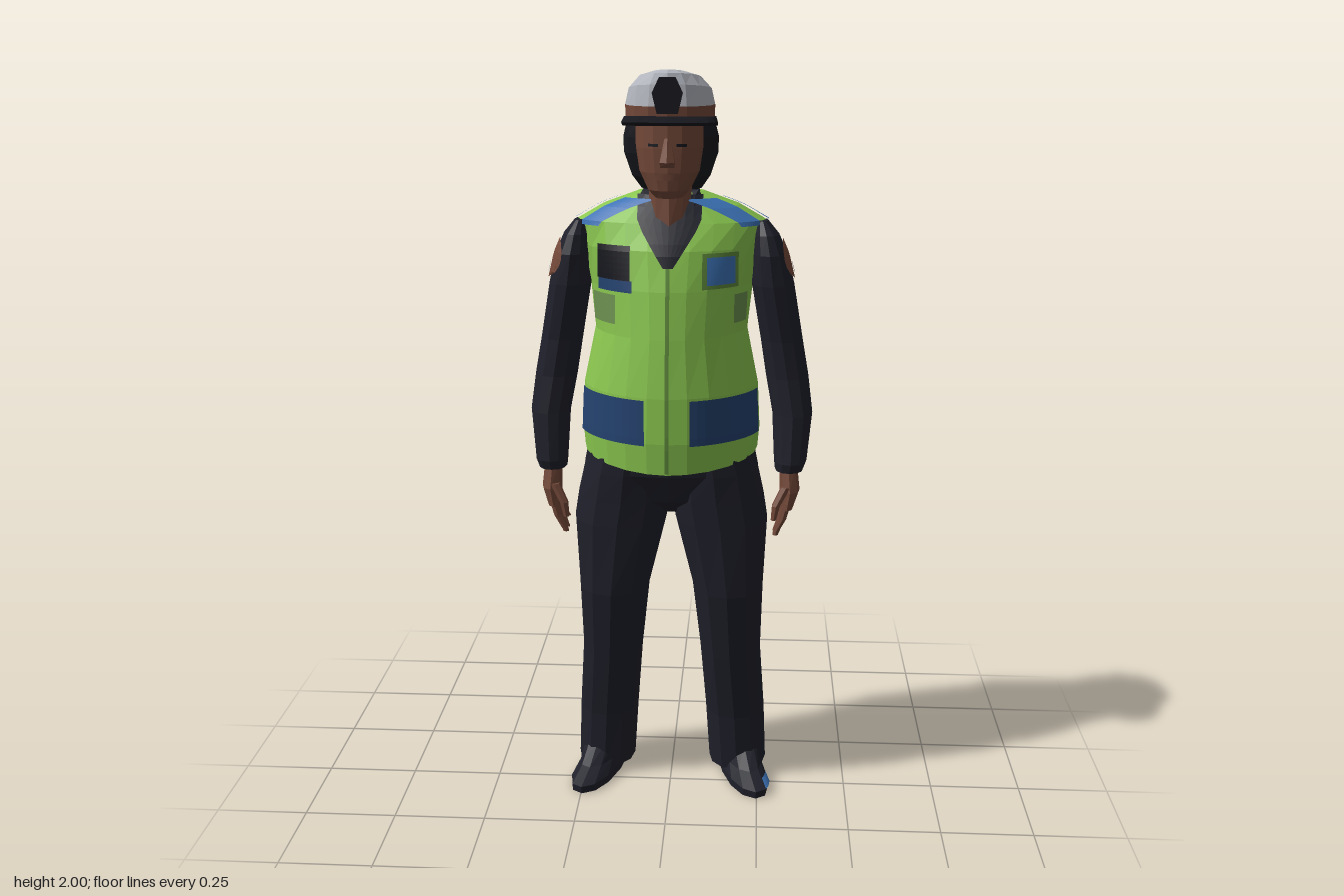
import * as THREE from 'three';

const colours = {
  vestGreen: 0x8ac64f, seamOlive: 0x5f8a3c, pocketNavy: 0x24426f, stripeBlue: 0x3c73b7, uniformDark: 0x1f202a,
  skin: 0x724838, hairBlack: 0x17181e, capGrey: 0xb3b6be, emblemBrown: 0x74493a, shadeGreen: 0x6d9150,
};
const M = {};
for (const [name, color] of Object.entries(colours)) {
  M[name] = new THREE.MeshStandardMaterial({ color });
  M[name].name = name;
}
const lerp = THREE.MathUtils.lerp;
const power = (v, e) => Math.sign(v) * Math.min(1, Math.abs(v)) ** e;

// A section is [y, centre x, half width, front z, back z, z of widest line, front and back roundness], listed upwards
function place([y, cx, rx, zf, zb, zw = (zf + zb) / 2, front = 2.2, back = 2.3], a, off = 0) {
  const c = Math.cos(a), e = 2 / (c >= 0 ? front : back);
  return [cx + (rx + off) * power(Math.sin(a), e), y, zw + ((c >= 0 ? zf - zw : zw - zb) + off) * power(c, e)];
}
function sectionAt(rings, y) {
  let i = 0;
  while (i < rings.length - 2 && y > rings[i + 1][0]) i++;
  const t = (y - rings[i][0]) / (rings[i + 1][0] - rings[i][0]);
  return rings[i].map((v, k) => lerp(v, rings[i + 1][k], t));
}
// Angles that meet a given x (on the front) or a given z (on the +x side)
function angleAtX(rings, y, x) {
  const [, cx, rx, , , , front = 2.2] = sectionAt(rings, y);
  return Math.asin(power((x - cx) / rx, front / 2));
}
function angleAtZ(rings, y, z) {
  const [, , , zf, zb, zw, front, back] = sectionAt(rings, y);
  return Math.acos(z >= zw ? power((z - zw) / (zf - zw), front / 2) : power((z - zw) / (zw - zb), back / 2));
}
const frontRect = (rings, x0, x1, y0, y1) => (u, v) => {
  const y = lerp(y0, y1, v);
  return [angleAtX(rings, y, lerp(x0, x1, u)), y];
};
function flatGeometry(points, index) {
  const g = new THREE.BufferGeometry();
  g.setAttribute('position', new THREE.Float32BufferAttribute(points.flat(), 3));
  g.setIndex(index);
  const flat = g.toNonIndexed();
  flat.computeVertexNormals();
  return flat;
}

export function createModel() {
  const model = new THREE.Group();
  model.name = 'officer';
  function add(name, geometry, material) {
    const mesh = new THREE.Mesh(geometry, material);
    mesh.name = name;
    model.add(mesh);
    return mesh;
  }
  // Closed faceted body through the sections; pick(y, z) chooses a material per face
  function loft(name, rings, material, { n = 14, side = 1, warp = (p) => p, pick } = {}) {
    const pts = [], index = [], last = (rings.length - 1) * n, q = Math.floor(n / 4);
    for (const [y, cx, ...rest] of rings) {
      for (let i = 0; i < n; i++) pts.push(warp(place([y, side * cx, ...rest], (i / n) * Math.PI * 2)));
    }
    for (let j = 0; j < last; j += n) for (let i = 0; i < n; i++) {
      const a = j + i, b = j + (i + 1) % n;
      index.push(a, b, b + n, a, b + n, a + n);
    }
    const sides = index.length;
    for (let i = 1; i < n - 1; i++) {
      const b = (q + i) % n, c = (q + i + 1) % n;
      index.push(q, c, b, last + q, last + b, last + c);
    }
    const g = flatGeometry(pts, index);
    for (let t = 0; pick && t < index.length; t += t < sides ? 6 : 3) {
      const ids = index.slice(t, t + (t < sides ? 6 : 3));
      const mean = (k) => ids.reduce((sum, i) => sum + pts[i][k], 0) / ids.length;
      g.addGroup(t, ids.length, pick(mean(1), mean(2)));
    }
    add(name, g, material);
  }
  // Thin painted face lying on a lofted body; f(u, v) gives [angle, y] on the +x side
  function patch(name, rings, material, f, { side = 1, off = 0.005, nu = 8, nv = 6, warp = (p) => p } = {}) {
    const pts = [], index = [], w = nu + 1;
    for (let j = 0; j <= nv; j++) for (let i = 0; i <= nu; i++) {
      const [a, y] = f(side > 0 ? i / nu : 1 - i / nu, j / nv);
      const [x, py, z] = place(sectionAt(rings, y), a, off);
      pts.push(warp([side * x, py, z]));
    }
    for (let j = 0; j < nv; j++) for (let i = 0; i < nu; i++) {
      const a = j * w + i;
      index.push(a, a + 1, a + w + 1, a, a + w + 1, a + w);
    }
    add(name, flatGeometry(pts, index), material);
  }

  // Vest, with its hem rising to the back
  const torso = [
    [0.975, 0, 0.235, 0.165, -0.185, -0.04], [1.06, 0, 0.24, 0.172, -0.172, -0.04], [1.18, 0, 0.234, 0.167, -0.155, -0.04],
    [1.33, 0, 0.203, 0.148, -0.165, -0.05], [1.45, 0, 0.216, 0.128, -0.183, -0.065], [1.55, 0, 0.24, 0.1, -0.188, -0.07],
    [1.615, 0, 0.248, 0.06, -0.165, -0.06], [1.655, 0, 0.18, 0.035, -0.135, -0.05], [1.69, 0, 0.085, 0.015, -0.1, -0.045],
  ].map((r) => [...r, 1.8, 2.6]);
  loft('vest', torso, M.vestGreen, { n: 24, warp: ([x, y, z]) => [x, y < 1 ? y + 0.13 * (0.165 - z) : y, z] });
  patch('zip', torso, M.seamOlive, frontRect(torso, -0.005, 0.005, 0.98, 1.51), { nu: 2, nv: 16 });
  patch('backSeam', torso, M.seamOlive, (u, v) => [Math.PI + lerp(-0.006, 0.006, u), lerp(1.03, 1.17, v)], { nu: 1 });
  patch('shirtFront', torso, M.uniformDark, (u, v) => {
    const y = lerp(1.51, 1.685, v), x = Math.min(0.08, 0.012 + 0.11 * v);
    return [angleAtX(torso, y, lerp(-x, x, u)), y];
  }, { off: 0.007 });
  for (const side of [1, -1]) {
    // Band running from a front x round to a side z
    const wrap = (x, z, y0, y1) => (u, v) => {
      const y = lerp(y0, y1, v);
      return [lerp(angleAtX(torso, y, x), angleAtZ(torso, y, z), u), y];
    };
    patch('waistPocket', torso, M.pocketNavy, wrap(0.058, 0, 1.055, 1.175), { side, nu: 12 });
    patch('sideShade', torso, M.shadeGreen, wrap(side > 0 ? 0.165 : 0.135, 0, 1.36, 1.435), { side });
    for (const [z0, z1] of [[0.02, -0.016], [-0.058, -0.09]]) {
      patch('shoulderStripe', torso, M.stripeBlue, (u, v) => {
        const y = lerp(1.605, 1.675, v);
        return [angleAtZ(torso, y, lerp(z0, z1, u)), y];
      }, { side, off: 0.01 });
    }
  }
  // Chest badges
  patch('chestBadgeBorder', torso, M.seamOlive, frontRect(torso, 0.085, 0.175, 1.455, 1.545));
  patch('chestBadge', torso, M.stripeBlue, frontRect(torso, 0.096, 0.165, 1.465, 1.535), { off: 0.008 });
  patch('radio', torso, M.hairBlack, frontRect(torso, 0.095, 0.18, 1.475, 1.562), { side: -1, off: 0.009 });
  patch('radioStrip', torso, M.pocketNavy, frontRect(torso, 0.09, 0.18, 1.445, 1.475), { side: -1, off: 0.007 });

  // Trousers, shoes, sleeves and palms, given for the +x side
  loft('hips', [
    [0.82, 0, 0.04, 0.0, -0.1], [0.87, 0, 0.15, 0.075, -0.165], [0.95, 0, 0.238, 0.108, -0.195], [1.03, 0, 0.222, 0.12, -0.19],
  ], M.uniformDark, { n: 16 });
  const leg = [
    [0.03, 0.192, 0.082, -0.01, -0.2], [0.2, 0.183, 0.084, 0.005, -0.2], [0.4, 0.168, 0.085, 0.048, -0.182],
    [0.6, 0.159, 0.098, 0.084, -0.168], [0.8, 0.139, 0.127, 0.092, -0.17], [0.87, 0.128, 0.127, 0.096, -0.178],
    [0.95, 0.12, 0.117, 0.103, -0.192], [1.02, 0.11, 0.108, 0.105, -0.185],
  ];
  const shoe = [
    [0, 0.197, 0.06, 0.1, -0.2], [0.022, 0.197, 0.06, 0.104, -0.2], [0.05, 0.195, 0.052, 0.04, -0.195], [0.1, 0.195, 0.05, -0.03, -0.18],
  ];
  const toeOut = (side) => ([x, y, z]) => [x + side * 0.25 * (z + 0.1), y, z];
  const arm = [
    [0.945, 0.322, 0.038, 0.035, -0.07], [0.97, 0.325, 0.044, 0.042, -0.078], [1.1, 0.328, 0.054, 0.03, -0.11],
    [1.2, 0.312, 0.057, 0.02, -0.132], [1.3, 0.295, 0.056, 0.02, -0.14], [1.45, 0.269, 0.056, 0.035, -0.135],
    [1.53, 0.259, 0.046, 0.035, -0.125], [1.58, 0.25, 0.033, 0.02, -0.105], [1.615, 0.24, 0.014, -0.01, -0.075],
  ];
  const palm = [[0.84, 0.317, 0.019, 0.04, -0.055], [0.89, 0.325, 0.027, 0.04, -0.055], [0.96, 0.32, 0.024, 0.022, -0.048]];
  const thumb = [[0.815, 0.282, 0.008, 0.048, 0.028], [0.855, 0.288, 0.012, 0.05, 0.024], [0.905, 0.314, 0.014, 0.04, 0.01]];
  for (const side of [1, -1]) {
    loft('trouserLeg', leg, M.uniformDark, { side, n: 12 });
    loft('shoe', shoe, M.uniformDark, { side, n: 12, warp: toeOut(side) });
    loft('sleeve', arm, M.uniformDark, { side, n: 12 });
    const middle = side > 0 ? 1.6 : 1.4, reach = side > 0 ? 0.85 : 1;
    patch('sleeveEmblem', arm, M.emblemBrown, (u, v) => {
      const w = reach * Math.sqrt(Math.max(0.02, 1 - (2 * v - 1) ** 2));
      return [middle + w * (2 * u - 1), lerp(1.465, 1.57, v)];
    }, { side });
    patch('emblemCentre', arm, M.capGrey, (u, v) => [middle + 0.22 * (2 * u - 1), lerp(1.48, 1.508, v)], { side, off: 0.008 });
    loft('palm', palm, M.skin, { side, n: 8 });
    loft('thumb', thumb, M.skin, { side, n: 6 });
    [0.775, 0.76, 0.765, 0.79].forEach((tip, i) => {
      const rings = [[tip, 0.288, 0.008], [0.815, 0.307, 0.011], [0.86, 0.318, 0.012]];
      const z = 0.026 - i * 0.023;
      loft('finger', rings.map(([y, x, r]) => [y, x, r, z + r, z - r]), M.skin, { side, n: 6 });
    });
  }
  patch('sleevePatch', arm, M.vestGreen, (u, v) => [lerp(2.2, 2.9, u), lerp(1.23, 1.29, v)], { side: -1 });
  patch('shoeMark', shoe, M.stripeBlue, (u, v) => [lerp(0.5, 1, u), lerp(0.024, 0.04, v)], { warp: toeOut(1) });

  // Neck, and a collar that dips at the front
  loft('neck', [[1.6, 0, 0.055, 0.07, -0.09], [1.74, 0, 0.058, 0.06, -0.07]], M.skin, { n: 10 });
  loft('collar', [[1.6, 0, 0.12, 0.072, -0.13], [1.655, 0, 0.1, 0.055, -0.115], [1.695, 0, 0.074, 0.042, -0.095]],
    M.uniformDark, { warp: ([x, y, z]) => [x, y - 1.1 * Math.max(0, z), z] });

  // Head
  const face = [
    [1.685, 0, 0.036, 0.105, 0.0], [1.705, 0, 0.055, 0.118, -0.02], [1.75, 0, 0.077, 0.124, -0.05],
    [1.81, 0, 0.086, 0.125, -0.06], [1.88, 0, 0.086, 0.122, -0.06],
  ];
  loft('face', face, M.skin, { n: 16 });
  loft('nose', [[1.765, 0, 0.02, 0.145, 0.1], [1.778, 0, 0.021, 0.158, 0.1], [1.835, 0, 0.009, 0.128, 0.1]], M.skin, { n: 6 });
  patch('lips', face, M.emblemBrown, frontRect(face, -0.028, 0.028, 1.732, 1.748), { off: 0.004 });
  for (const side of [1, -1]) patch('eye', face, M.hairBlack, frontRect(face, 0.022, 0.046, 1.815, 1.822), { side, off: 0.004 });
  loft('hair', [
    [1.695, 0, 0.078, -0.01, -0.098], [1.73, 0, 0.102, 0.03, -0.108], [1.79, 0, 0.122, 0.05, -0.116],
    [1.83, 0, 0.123, 0.055, -0.116], [1.88, 0, 0.11, 0.06, -0.112],
  ], M.hairBlack, { n: 12 });

  // Cap: brown band and grey crown in front, blue behind, the top rising forwards
  loft('cap', [
    [1.865, 0, 0.114, 0.129, -0.112], [1.912, 0, 0.114, 0.132, -0.114], [1.95, 0, 0.105, 0.126, -0.106],
    [1.978, 0, 0.078, 0.119, -0.09], [1.987, 0, 0.045, 0.105, -0.08],
  ], [M.emblemBrown, M.capGrey, M.stripeBlue], {
    n: 16,
    warp: ([x, y, z]) => [x, y > 1.94 ? y + 0.12 * z : y, z],
    pick: (y, z) => (z < 0.0123 ? 2 : y < 1.91 ? 0 : 1),
  });
  loft('capBrim', [[1.862, 0, 0.121, 0.16, -0.121], [1.87, 0, 0.122, 0.205, -0.122], [1.885, 0, 0.117, 0.135, -0.118]],
    M.hairBlack, { n: 20, warp: ([x, y, z]) => [x, y + 0.06 * (z - 0.06), z] });
  const shield = new THREE.Shape([[-0.026, 0], [0.026, 0], [0.038, 0.05], [0.02, 0.088], [-0.02, 0.088], [-0.038, 0.05]]
    .map(([x, y]) => new THREE.Vector2(x, y)));
  add('capShield', new THREE.ExtrudeGeometry(shield, { depth: 0.008, bevelEnabled: false }), M.hairBlack).position.set(0, 1.895, 0.126);
  return model;
}
